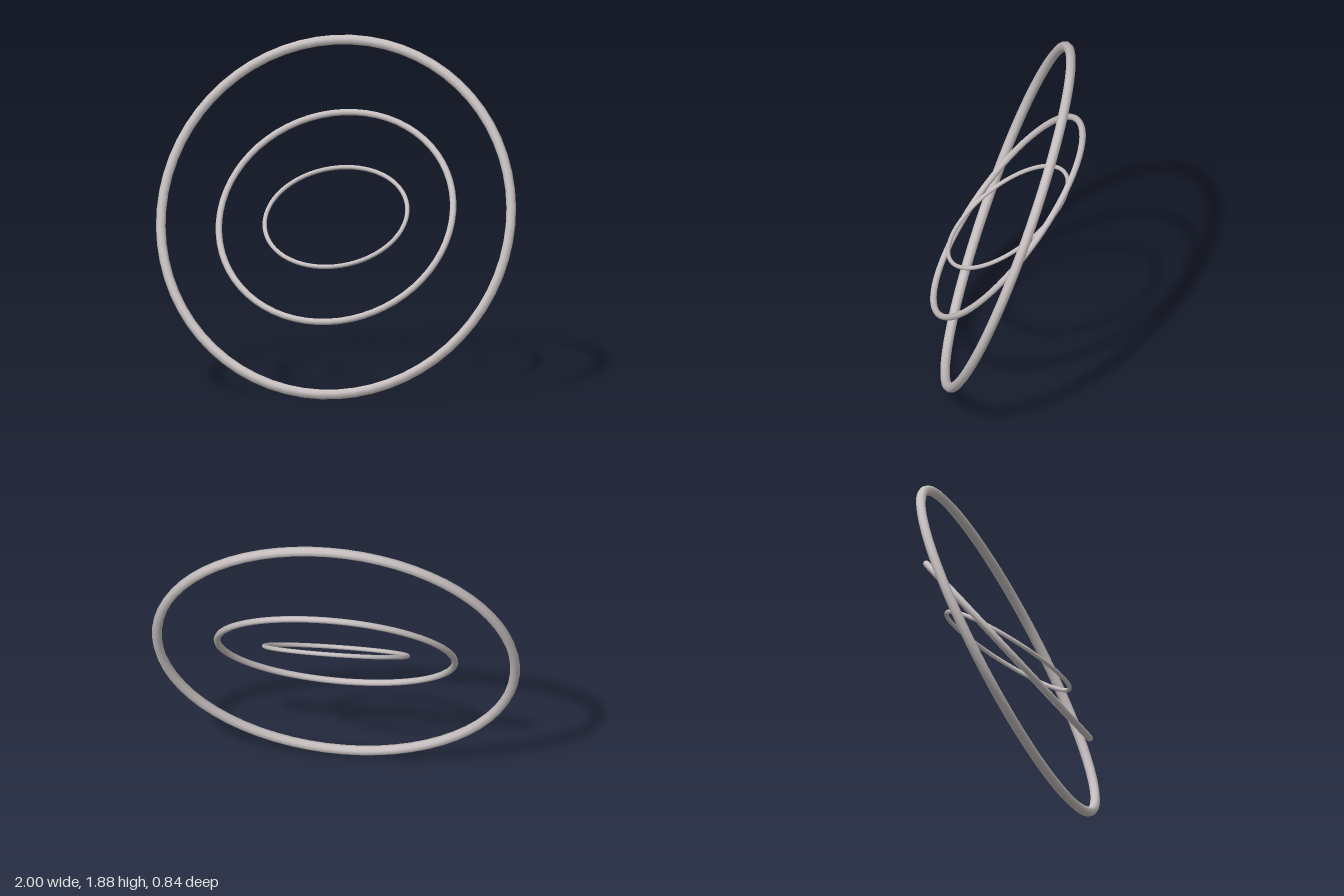
import * as THREE from 'three';

const CENTRE_Y = 0.943;

// name, ring radius, tube radius, backward tilt in degrees
const RINGS = [
  ['outerRing', 0.973, 0.027, 20],
  ['middleRing', 0.645, 0.018, 38.4],
  ['innerRing', 0.389, 0.012, 56],
];

export function createModel() {
  const model = new THREE.Group();
  model.name = 'nestedRings';

  const metal = new THREE.MeshStandardMaterial({ color: 0xc8c0c0 });
  metal.name = 'pale warm grey';

  // Concentric rings, each tilted further back around the x axis
  for (const [name, radius, tube, tilt] of RINGS) {
    const ring = new THREE.Mesh(new THREE.TorusGeometry(radius, tube, 8, 64), metal);
    ring.name = name;
    ring.position.y = CENTRE_Y;
    ring.rotation.x = -THREE.MathUtils.degToRad(tilt);
    model.add(ring);
  }
  return model;
}
